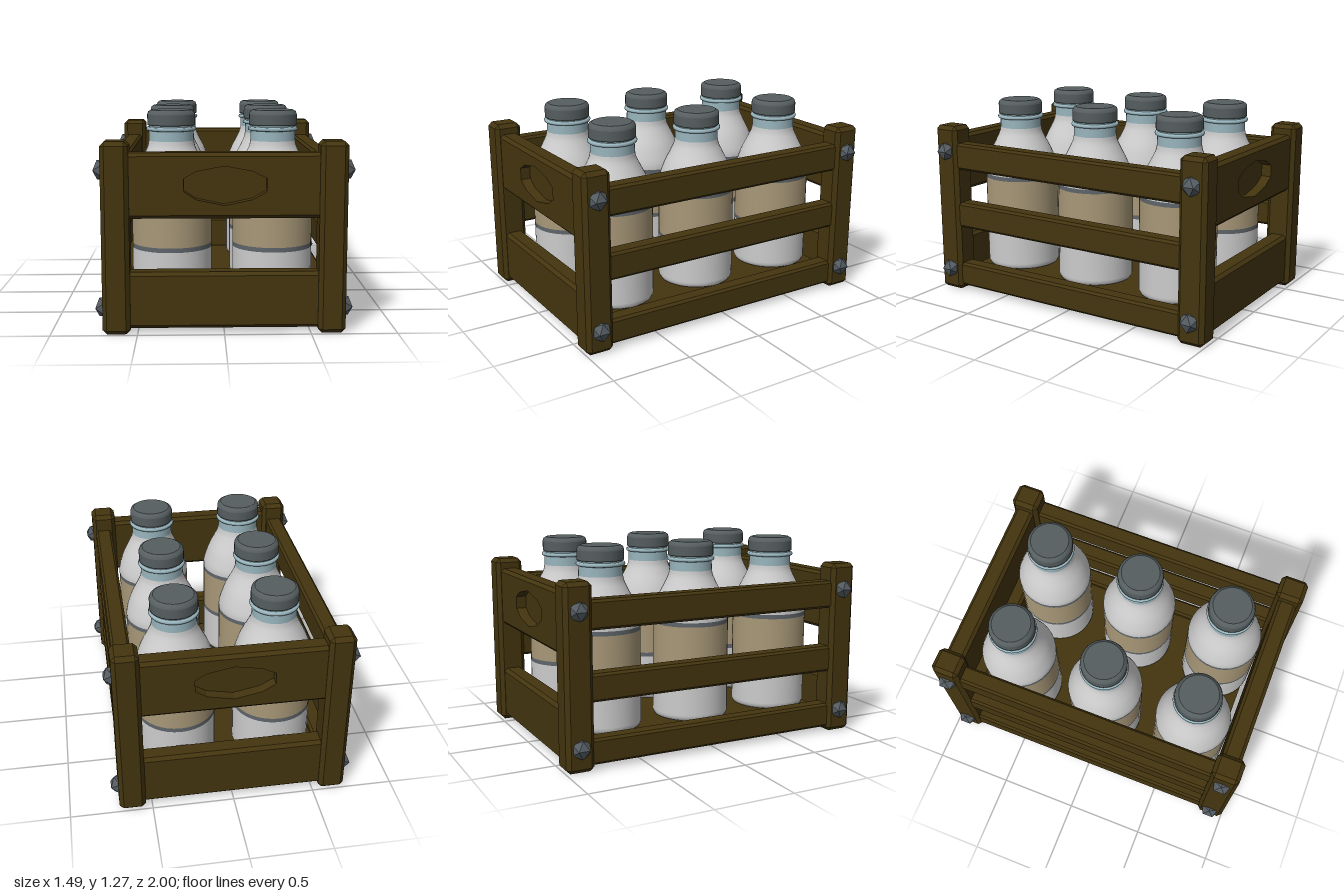
import * as THREE from 'three';
import { ConvexGeometry } from 'three/addons/geometries/ConvexGeometry.js';

const mat = (name, color, side = THREE.FrontSide) => {
  const m = new THREE.MeshStandardMaterial({ color, side });
  m.name = name;
  return m;
};

// Box with all edges chamfered by b, given by its min and max corners
function chamferBox(min, max, b) {
  const c = min.map((v, i) => (v + max[i]) / 2);
  const h = min.map((v, i) => (max[i] - v) / 2);
  const pts = [];
  for (const sx of [-1, 1]) for (const sy of [-1, 1]) for (const sz of [-1, 1])
    for (let axis = 0; axis < 3; axis++) {
      const s = [sx, sy, sz];
      const p = s.map((v, i) => c[i] + v * (h[i] - (i === axis ? 0 : b)));
      pts.push(new THREE.Vector3(...p));
    }
  return new ConvexGeometry(pts);
}

// One layer of the handle panel; its front or back rim can be drawn in for a chamfer
function panelLayer(z0, z1, hole, backInset, frontInset) {
  const w = 0.56, y0 = 0.67, y1 = 1.045, mid = (y0 + y1) / 2;
  const shape = new THREE.Shape([[-w, y0], [w, y0], [w, y1], [-w, y1]].map(p => new THREE.Vector2(...p)));
  if (hole) shape.holes.push(new THREE.Path(hole.map(p => new THREE.Vector2(...p))));
  const geo = new THREE.ExtrudeGeometry(shape, { depth: z1 - z0, bevelEnabled: false });
  geo.translate(0, 0, z0);
  const pos = geo.attributes.position;
  for (let i = 0; i < pos.count; i++) {
    const y = pos.getY(i);
    const inset = pos.getZ(i) > (z0 + z1) / 2 ? frontInset : backInset;
    if (y < y0 + 0.001 || y > y1 - 0.001) pos.setY(i, y + Math.sign(mid - y) * inset);
  }
  geo.computeVertexNormals();
  return geo;
}

export function createModel() {
  const wood = mat('dark wood', 0x44350f);
  const metal = mat('bolt metal', 0x545c62);
  const white = mat('bottle white', 0xcccccc, THREE.DoubleSide);
  const tan = mat('label tan', 0xa89878, THREE.DoubleSide);
  const stripe = mat('label stripe grey', 0x5f656a, THREE.DoubleSide);
  const blue = mat('neck blue', 0x97b3bb, THREE.DoubleSide);
  const cap = mat('cap grey', 0x565e60, THREE.DoubleSide);

  const model = new THREE.Group();
  model.name = 'bottleCrate';
  const add = (parent, name, geo, material) => {
    const mesh = new THREE.Mesh(geo, material);
    mesh.name = name;
    parent.add(mesh);
    return mesh;
  };

  // Corner posts with two faceted bolts each
  for (const sx of [-1, 1]) for (const sz of [-1, 1]) {
    const post = chamferBox([-0.08, 0, -0.0875], [0.08, 1.11, 0.0875], 0.025);
    add(model, 'cornerPost', post, wood).position.set(sx * 0.62, 0, sz * 0.9125);
    for (const y of [0.145, 0.945]) {
      const bolt = add(model, 'bolt', new THREE.IcosahedronGeometry(0.065, 0), metal);
      bolt.position.set(sx * 0.688, y, sz * 0.91);
    }
  }

  // Floor
  add(model, 'floor', new THREE.BoxGeometry(1.18, 0.115, 1.64), wood).position.y = 0.0925;

  // Side slats; the middle one on the right sits slightly lower
  for (const sx of [-1, 1]) {
    const mid = sx < 0 ? -0.03 : 0;
    for (const [y0, y1] of [[0.03, 0.187], [0.435 + mid, 0.603 + mid], [0.825, 1.0]]) {
      const slat = chamferBox([-0.055, y0, -0.86], [0.055, y1, 0.86], 0.015);
      add(model, 'sideSlat', slat, wood).position.x = sx * 0.625;
    }
  }

  // End panels: plain lower board, upper board with a sunken hand grip
  const grip = [[0, 0.97], [0.16, 0.94], [0.24, 0.9], [0.24, 0.825], [0.16, 0.78],
    [0, 0.747], [-0.16, 0.78], [-0.23, 0.825], [-0.23, 0.9], [-0.16, 0.94]];
  const layers = [[0.85, 0.87, null, 0.02, 0], [0.87, 0.91, null, 0, 0],
    [0.91, 0.953, grip, 0, 0], [0.953, 0.973, grip, 0, 0.02]];
  for (const turn of [0, Math.PI]) {
    const end = new THREE.Group();
    end.name = turn ? 'backEnd' : 'frontEnd';
    end.rotation.y = turn;
    add(end, 'lowerBoard', chamferBox([-0.57, 0.03, 0.85], [0.57, 0.36, 0.973], 0.02), wood);
    for (const layer of layers) add(end, 'upperBoard', panelLayer(...layer), wood);
    model.add(end);
  }

  // Bottle sections as [name, material, profile of radius and height]
  const shoulder = new THREE.SplineCurve([[0.24, 0.78], [0.236, 0.825], [0.205, 0.92],
    [0.165, 1.0], [0.142, 1.05], [0.135, 1.085]].map(p => new THREE.Vector2(...p)));
  const lathe = pts => new THREE.LatheGeometry(pts.map(p => new THREE.Vector2(...p)), 36);
  const sections = [
    ['bottleBase', white, lathe([[0, 0.15], [0.215, 0.15], [0.232, 0.157], [0.24, 0.175], [0.24, 0.19], [0.24, 0.445]])],
    ['lowerStripe', stripe, lathe([[0.24, 0.445], [0.24, 0.472]])],
    ['label', tan, lathe([[0.24, 0.472], [0.24, 0.753]])],
    ['upperStripe', stripe, lathe([[0.24, 0.753], [0.24, 0.78]])],
    ['shoulder', white, new THREE.LatheGeometry(shoulder.getPoints(16), 36)],
    ['neck', blue, lathe([[0.135, 1.085], [0.133, 1.14], [0.133, 1.18]])],
    ['neckRing', blue, lathe([[0.133, 1.143], [0.146, 1.146], [0.15, 1.155], [0.146, 1.165], [0.133, 1.168]])],
    ['capSide', cap, lathe([[0.12, 1.175], [0.142, 1.177], [0.143, 1.185], [0.143, 1.24]])],
    ['capRim', cap, lathe([[0.143, 1.24], [0.137, 1.257], [0.12, 1.267]])],
    ['capTop', cap, lathe([[0.12, 1.267], [0, 1.267]])],
  ];
  const spots = [[-0.3, -0.61], [0.3, -0.61], [-0.315, 0], [0.3, 0], [-0.307, 0.6], [0.3, 0.6]];
  for (const [x, z] of spots) {
    const bottle = new THREE.Group();
    bottle.name = 'bottle';
    bottle.position.set(x, 0, z);
    for (const [name, material, geo] of sections) add(bottle, name, geo, material);
    model.add(bottle);
  }
  return model;
}
